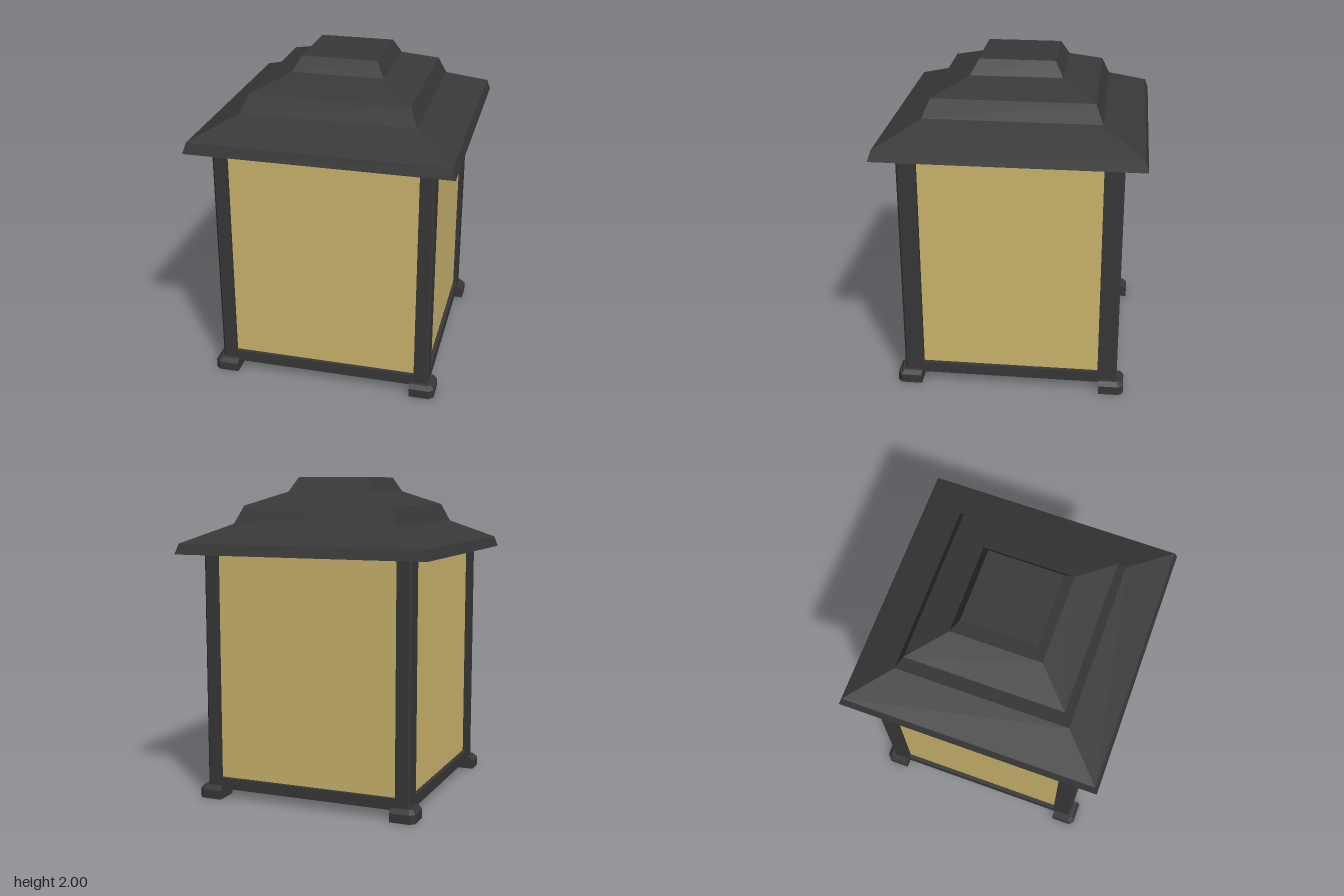
import * as THREE from 'three';

// Solid skinned over stacked rings: each ring is { y, pts: [[x, z], ...] }, convex, equal counts
function loft(rings) {
  const area = rings[0].pts.reduce((s, p, i, a) => {
    const q = a[(i + 1) % a.length];
    return s + p[0] * q[1] - q[0] * p[1];
  }, 0);
  const loops = rings.map(({ y, pts }) => {
    const l = pts.map(([x, z]) => [x, y, z]);
    return area > 0 ? l.reverse() : l;
  });
  const n = loops[0].length, pos = [];
  const tri = (a, b, c) => pos.push(...a, ...b, ...c);
  for (let r = 0; r < loops.length - 1; r++) {
    const lo = loops[r], hi = loops[r + 1];
    for (let i = 0; i < n; i++) {
      const j = (i + 1) % n;
      tri(lo[i], lo[j], hi[j]);
      tri(lo[i], hi[j], hi[i]);
    }
  }
  const bottom = loops[0], top = loops[loops.length - 1];
  for (let i = 1; i < n - 1; i++) {
    tri(bottom[0], bottom[i + 1], bottom[i]);
    tri(top[0], top[i], top[i + 1]);
  }
  const g = new THREE.BufferGeometry();
  g.setAttribute('position', new THREE.Float32BufferAttribute(pos, 3));
  g.computeVertexNormals();
  return g;
}

const square = (h) => [[-h, -h], [h, -h], [h, h], [-h, h]];

// Square with its four corners cut by c
const cutSquare = (h, c) => [
  [-h + c, -h], [h - c, -h], [h, -h + c], [h, h - c],
  [h - c, h], [-h + c, h], [-h, h - c], [-h, -h + c],
];

// Corner block from (x0, z0) out to (h, h), outer corner cut by c, in quadrant sx, sz
const corner = (x0, z0, h, c, sx, sz) =>
  [[x0, z0], [h, z0], [h, h - c], [h - c, h], [x0, h]].map(([x, z]) => [x * sx, z * sz]);

export function createModel() {
  const metal = new THREE.MeshStandardMaterial({ color: 0x383838 });
  metal.name = 'dark metal';
  const amber = new THREE.MeshStandardMaterial({ color: 0xcdb66e });
  amber.name = 'amber glass';

  const lantern = new THREE.Group();
  lantern.name = 'lantern';
  const add = (name, geometry, material) => {
    const mesh = new THREE.Mesh(geometry, material);
    mesh.name = name;
    lantern.add(mesh);
    return mesh;
  };

  const body = 0.67, eave = 1.535, sill = 0.13;

  // Stepped pagoda roof: half width, height
  const roof = [[0.8, eave], [0.78, 1.6], [0.533, 1.715], [0.485, 1.825], [0.28, 1.91], [0.23, 2]];
  add('roof', loft(roof.map(([h, y]) => ({ y, pts: square(h) }))), metal);

  // Base tray
  const tray = cutSquare(body, 0.012);
  add('base', loft([{ y: 0.06, pts: tray }, { y: sill, pts: tray }]), metal);

  // Glass, set back slightly behind the posts
  const glassHalf = 0.645;
  add('glass', new THREE.BoxGeometry(2 * glassHalf, eave - sill, 2 * glassHalf), amber)
    .position.y = (eave + sill) / 2;

  // Corner posts and bevelled feet
  for (const sx of [-1, 1]) for (const sz of [-1, 1]) {
    const side = (sz > 0 ? 'front' : 'back') + (sx > 0 ? 'Left' : 'Right');
    const post = corner(0.58, 0.55, body, 0.012, sx, sz);
    add(side + 'Post', loft([{ y: sill, pts: post }, { y: eave, pts: post }]), metal);

    const foot = corner(0.56, 0.56, 0.713, 0.027, sx, sz);
    const footTop = corner(0.56, 0.56, 0.69, 0.018, sx, sz);
    add(side + 'Foot', loft([
      { y: 0, pts: foot }, { y: 0.055, pts: foot }, { y: 0.08, pts: footTop },
    ]), metal);
  }
  return lantern;
}
